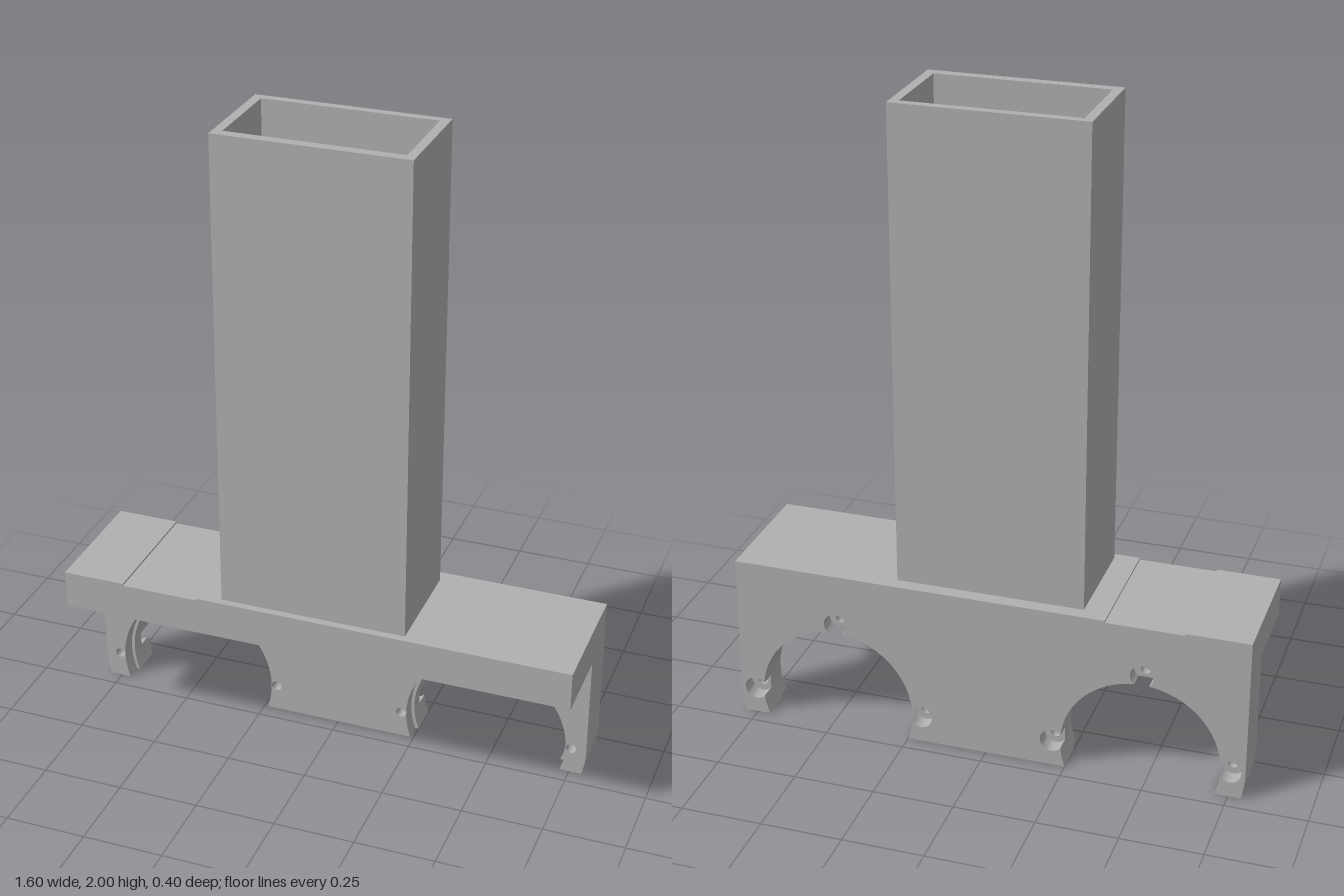
import * as THREE from 'three';
import { toCreasedNormals } from 'three/addons/utils/BufferGeometryUtils.js';

const HALF = 0.8, AXIS_Y = 0.085, AXIS_X = 0.48;
const PLATE_BOTTOM = 0.405, PLATE_TOP = 0.525;
const BORE = 0.245, RING = 0.32;
const BOLT_CIRCLE = 0.272, BOLT = 0.016, POCKET = 0.036;
const BOLT_ANGLES = [Math.PI, Math.PI / 2, 0];

const polar = (cx, cy, r, a) => new THREE.Vector2(cx + r * Math.cos(a), cy + r * Math.sin(a));

function arc(cx, cy, r, from, to, steps) {
  const points = [];
  for (let i = 0; i <= steps; i++) points.push(polar(cx, cy, r, from + (to - from) * i / steps));
  return points;
}

// Arch edge, left to right, optionally notched by the rear bolt pockets
function archEdge(cx, r, pockets) {
  const dip = Math.asin(AXIS_Y / r);
  if (!pockets) return arc(cx, AXIS_Y, r, Math.PI + dip, -dip, 64);
  const phi = Math.acos((r * r + BOLT_CIRCLE ** 2 - POCKET ** 2) / (2 * r * BOLT_CIRCLE));
  const alpha = Math.acos((BOLT_CIRCLE - r * Math.cos(phi)) / POCKET);
  const points = [];
  let from = Math.PI + dip;
  for (const a of BOLT_ANGLES) {
    points.push(...arc(cx, AXIS_Y, r, from, a + phi, 24).slice(0, -1));
    const c = polar(cx, AXIS_Y, BOLT_CIRCLE, a);
    points.push(...arc(c.x, c.y, POCKET, a + Math.PI - alpha, a - Math.PI + alpha, 24).slice(0, -1));
    from = a - phi;
  }
  points.push(...arc(cx, AXIS_Y, r, from, -dip, 8));
  return points;
}

// Wall outline with two arches and curved outer feet
function wallShape(r, pockets) {
  const foot = Math.asin(AXIS_Y / RING);
  const shape = new THREE.Shape([
    ...arc(-AXIS_X, AXIS_Y, RING, Math.PI, Math.PI + foot, 6),
    ...archEdge(-AXIS_X, r, pockets),
    ...archEdge(AXIS_X, r, pockets),
    ...arc(AXIS_X, AXIS_Y, RING, -foot, 0, 6),
    new THREE.Vector2(HALF, PLATE_BOTTOM),
    new THREE.Vector2(-HALF, PLATE_BOTTOM),
  ]);
  if (!pockets) {
    for (const cx of [-AXIS_X, AXIS_X]) {
      for (const a of BOLT_ANGLES) {
        const c = polar(cx, AXIS_Y, BOLT_CIRCLE, a);
        shape.holes.push(new THREE.Path().absarc(c.x, c.y, BOLT, 0, Math.PI * 2, true));
      }
    }
  }
  return shape;
}

function extrude(shape, depth) {
  const geometry = new THREE.ExtrudeGeometry(shape, { depth, bevelEnabled: false, curveSegments: 12 });
  return toCreasedNormals(geometry, 0.5);
}

export function createModel() {
  const grey = new THREE.MeshStandardMaterial({ color: 0xb0b0b0 });
  grey.name = 'grey';
  const model = new THREE.Group();
  model.name = 'bracket';

  const add = (name, geometry, parent = model) => {
    const mesh = new THREE.Mesh(geometry, grey);
    mesh.name = name;
    parent.add(mesh);
    return mesh;
  };

  // Rear wall: wider front lip, plain bore, then bolt pockets at the back
  const wall = new THREE.Group();
  wall.name = 'archedWall';
  model.add(wall);
  add('frontLip', extrude(wallShape(0.255, false), 0.05), wall).position.z = -0.1;
  add('bore', extrude(wallShape(BORE, false), 0.05), wall).position.z = -0.15;
  add('boltPockets', extrude(wallShape(BORE, true), 0.05), wall).position.z = -0.2;

  // Top plate with a shallow channel across it
  const low = PLATE_TOP - 0.006;
  const plate = new THREE.Shape([
    [-HALF, PLATE_BOTTOM], [HALF, PLATE_BOTTOM], [HALF, PLATE_TOP], [-0.365, PLATE_TOP],
    [-0.365, low], [-0.605, low], [-0.605, PLATE_TOP], [-HALF, PLATE_TOP],
  ].map(([x, y]) => new THREE.Vector2(x, y)));
  add('plate', extrude(plate, 0.4)).position.z = -0.2;

  // Hollow rectangular tower, drawn in plan and turned upright
  const rectangle = (x, z0, z1) => [[-x, -z1], [x, -z1], [x, -z0], [-x, -z0]]
    .map(([px, py]) => new THREE.Vector2(px, py));
  const tube = new THREE.Shape(rectangle(0.29, -0.157, 0.177));
  tube.holes.push(new THREE.Path(rectangle(0.262, -0.131, 0.146)));
  const tower = add('tower', extrude(tube, 2 - PLATE_TOP));
  tower.rotation.x = -Math.PI / 2;
  tower.position.y = PLATE_TOP;

  return model;
}
